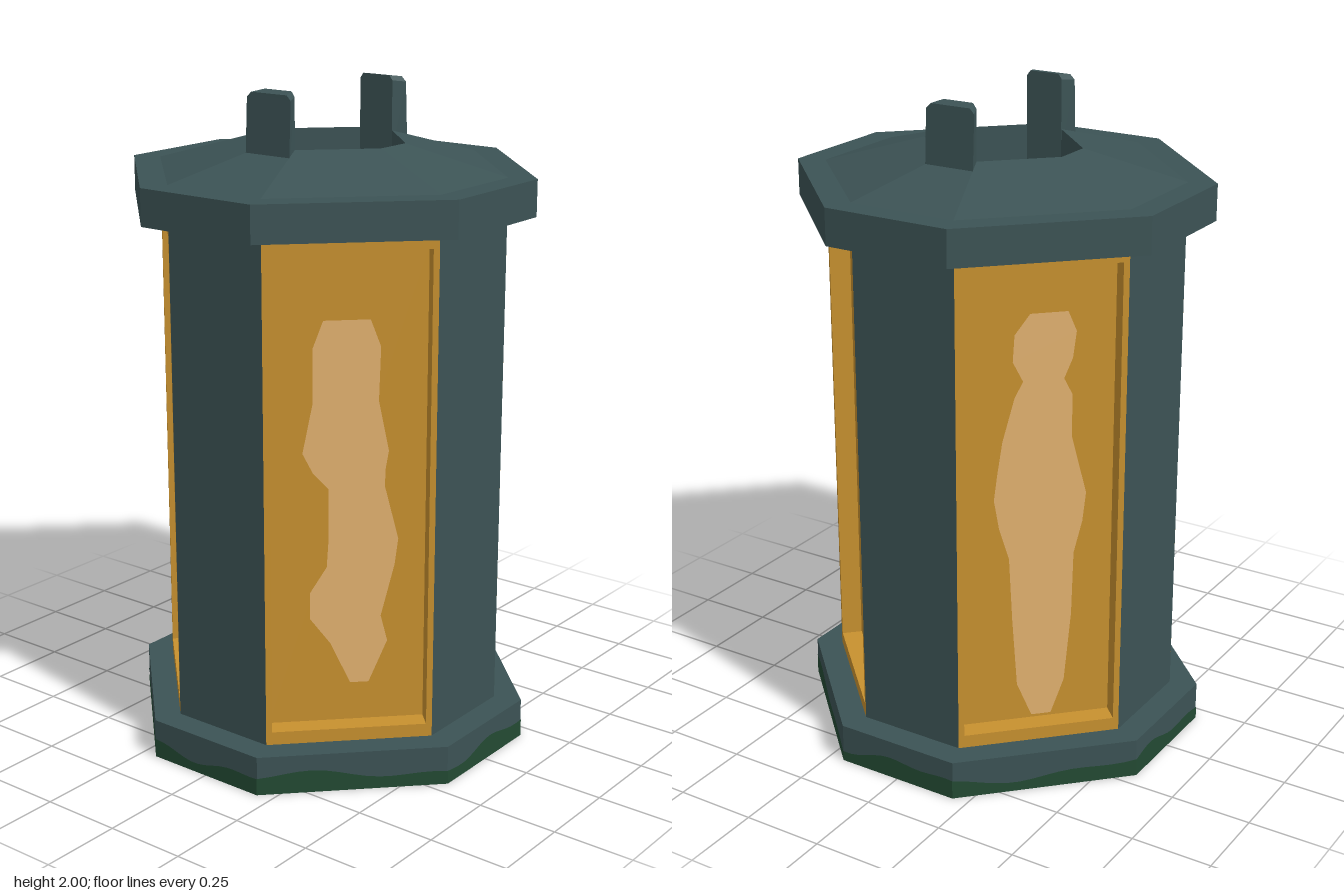
import * as THREE from 'three';

const mat = (name, color, side = THREE.FrontSide) => {
  const m = new THREE.MeshStandardMaterial({ color, side });
  m.name = name;
  return m;
};

// Octagon corners (x, z) with half width a and half cardinal edge b
const octagon = (a, b) => [[b, a], [a, b], [a, -b], [b, -a], [-b, -a], [-a, -b], [-a, b], [-b, a]];

// Flat-shaded surface through octagonal rings [a, b, y]
function loft(rings) {
  const pos = [];
  for (let r = 0; r < rings.length - 1; r++) {
    const [lo, hi] = [rings[r], rings[r + 1]].map(([a, b, y]) => octagon(a, b).map(([x, z]) => [x, y, z]));
    for (let i = 0; i < 8; i++) {
      const j = (i + 1) % 8;
      pos.push(...lo[i], ...lo[j], ...hi[j], ...lo[i], ...hi[j], ...hi[i]);
    }
  }
  return fromTriangles(pos);
}

function fromTriangles(pos) {
  const g = new THREE.BufferGeometry();
  g.setAttribute('position', new THREE.Float32BufferAttribute(pos, 3));
  g.computeVertexNormals();
  return g;
}

const shapeOf = pts => new THREE.Shape(pts.map(([x, y]) => new THREE.Vector2(x, y)));
const rectangle = (w, y0, y1) => [[-w, y0], [w, y0], [w, y1], [-w, y1]];

// Glow outlines, from top to bottom: height, left edge, right edge
const glows = [
  { angle: -1, rows: [[1.39, -.07, .065], [1.31, -.1, .095], [1.15, -.1, .09], [1, -.13, .12], [.94, -.1, .11],
    [.89, -.055, .11], [.73, -.055, .15], [.65, -.06, .14], [.57, -.11, .12], [.49, -.11, .1], [.41, -.05, .12], [.28, .01, .065]] },
  { angle: 1, rows: [[1.45, -.07, .08], [1.39, -.12, .1], [1.31, -.13, .11], [1.15, -.12, .1], [1.07, -.1, .08],
    [.99, -.07, .095], [.84, -.09, .11], [.76, -.08, .155], [.68, -.085, .145], [.52, -.08, .13], [.44, -.085, .1], [.36, -.04, .08], [.28, -.025, .04]] },
  { angle: 3, rows: [[1.45, -.02, .09], [1.39, -.065, .115], [1.31, -.07, .105], [1.25, -.04, .08], [1.2, -.065, .105],
    [1.07, -.1, .105], [.97, -.115, .13], [.89, -.125, .15], [.8, -.11, .14], [.7, -.08, .115], [.5, -.07, .11], [.28, -.055, .09], [.17, -.01, .05]] },
  { angle: 5, rows: [[1.43, -.02, .1], [1.38, -.07, .11], [1.28, -.125, .1], [1.2, -.1, .09], [.95, -.125, .14],
    [.85, -.125, .14], [.75, -.095, .125], [.45, -.08, .14], [.3, -.06, .09], [.18, -.04, .09]] },
];

export function createModel() {
  const metal = mat('dark teal metal', 0x3c5355);
  const amber = mat('amber', 0xc8912f);
  const glow = mat('pale glow', 0xe3b270, THREE.DoubleSide);
  const moss = mat('moss green', 0x234a33);

  const model = new THREE.Group();
  model.name = 'lantern';
  const add = (parent, name, geometry, material) => {
    const m = new THREE.Mesh(geometry, material);
    m.name = name;
    parent.add(m);
    return m;
  };

  // Base slab with a green underside
  add(model, 'base', loft([[.6, .2, 0], [.6, .2, .12], [0, 0, .12]]), metal);
  add(model, 'baseUnderside', loft([[0, 0, 0], [.6, .2, 0]]), moss);

  // Uneven moss band around the foot
  const band = [];
  const corners = octagon(.602, .2);
  const steps = 14;
  const mossHeight = t => .05 + .014 * Math.sin(t * 5.3 + 1) + .008 * Math.sin(t * 13);
  corners.forEach(([x0, z0], i) => {
    const [x1, z1] = corners[(i + 1) % 8];
    const at = s => [x0 + (x1 - x0) * s / steps, z0 + (z1 - z0) * s / steps];
    for (let s = 0; s < steps; s++) {
      const [ax, az] = at(s), [bx, bz] = at(s + 1);
      const ha = mossHeight((i + s / steps) * Math.PI / 4), hb = mossHeight((i + (s + 1) / steps) * Math.PI / 4);
      band.push(ax, 0, az, bx, 0, bz, bx, hb, bz, ax, 0, az, bx, hb, bz, ax, ha, az);
    }
  });
  add(model, 'mossBand', fromTriangles(band), moss);

  // Body with four notched corners and a hollow for the roof well
  const d = .046;
  const outline = [];
  for (let k = 0; k < 4; k++) {
    const c = Math.round(Math.cos(k * Math.PI / 2)), s = Math.round(Math.sin(k * Math.PI / 2));
    for (const [x, y] of [[.17 - d, .52 - d], [.17, .52], [-.17, .52], [-.17 + d, .52 - d]])
      outline.push([x * c - y * s, x * s + y * c]);
  }
  const bodyShape = shapeOf(outline);
  bodyShape.holes.push(new THREE.Path(octagon(.25, .07).map(([x, y]) => new THREE.Vector2(x, y))));
  const body = new THREE.ExtrudeGeometry(bodyShape, { depth: 1.52, bevelEnabled: false });
  body.rotateX(-Math.PI / 2).translate(0, .12, 0);
  add(model, 'body', body, metal);

  // Recessed amber windows on the diagonal faces
  const depth = .064;
  for (const { angle, rows } of glows) {
    const g = new THREE.Group();
    g.name = 'window';
    const a = angle * Math.PI / 4;
    g.position.set(Math.sin(a) * .345 * Math.SQRT2, 0, Math.cos(a) * .345 * Math.SQRT2);
    g.rotation.y = a;
    model.add(g);

    const frame = shapeOf(rectangle(.2475, .12, 1.64));
    frame.holes.push(shapeOf(rectangle(.23, .16, 1.6)));
    const frameGeo = new THREE.ExtrudeGeometry(frame, { depth, bevelEnabled: false });
    add(g, 'windowFrame', frameGeo.translate(0, 0, -depth), amber);
    add(g, 'pane', new THREE.PlaneGeometry(.47, 1.46).translate(0, .88, -depth + .001), amber);
    add(g, 'windowHead', new THREE.PlaneGeometry(.46, depth - .004).rotateX(Math.PI / 2).translate(0, 1.598, -depth / 2), metal);

    const edge = [...rows.map(([y, l]) => [l, y]), ...rows.map(([y, , r]) => [r, y]).reverse()];
    add(g, 'glow', new THREE.ShapeGeometry(shapeOf(edge)).translate(0, 0, -depth + .004), glow);
  }

  // Roof: eaves, shallow slope and the sunken octagonal well
  add(model, 'roof', loft([
    [.235, .06, 1.64], [.6, .2, 1.64], [.6, .2, 1.75], [.52, .17, 1.75],
    [.235, .06, 1.835], [.235, .06, 1.5], [0, 0, 1.5],
  ]), metal);

  // Upright lugs: wider on the outside, with sloped tops and clipped outer corners
  const lugProfile = [[-.08, 1.77], [.08, 1.77], [.08, 1.985], [.065, 2], [-.065, 2], [-.08, 1.985]];
  for (const side of [-1, 1]) {
    const lug = new THREE.ExtrudeGeometry(shapeOf(lugProfile), { depth: 1, bevelEnabled: false });
    const p = lug.attributes.position;
    for (let i = 0; i < p.count; i++) {
      const outer = p.getZ(i) > .5, y = p.getY(i);
      const lean = (y - 1.77) * .05;
      p.setXYZ(i, p.getX(i) * (outer ? 1 : .75), y - (outer && y > 1.9 ? .006 : 0), outer ? .287 - lean : .234);
    }
    lug.rotateY(side * Math.PI / 2);
    lug.computeVertexNormals();
    add(model, side > 0 ? 'leftLug' : 'rightLug', lug, metal);
  }
  return model;
}
